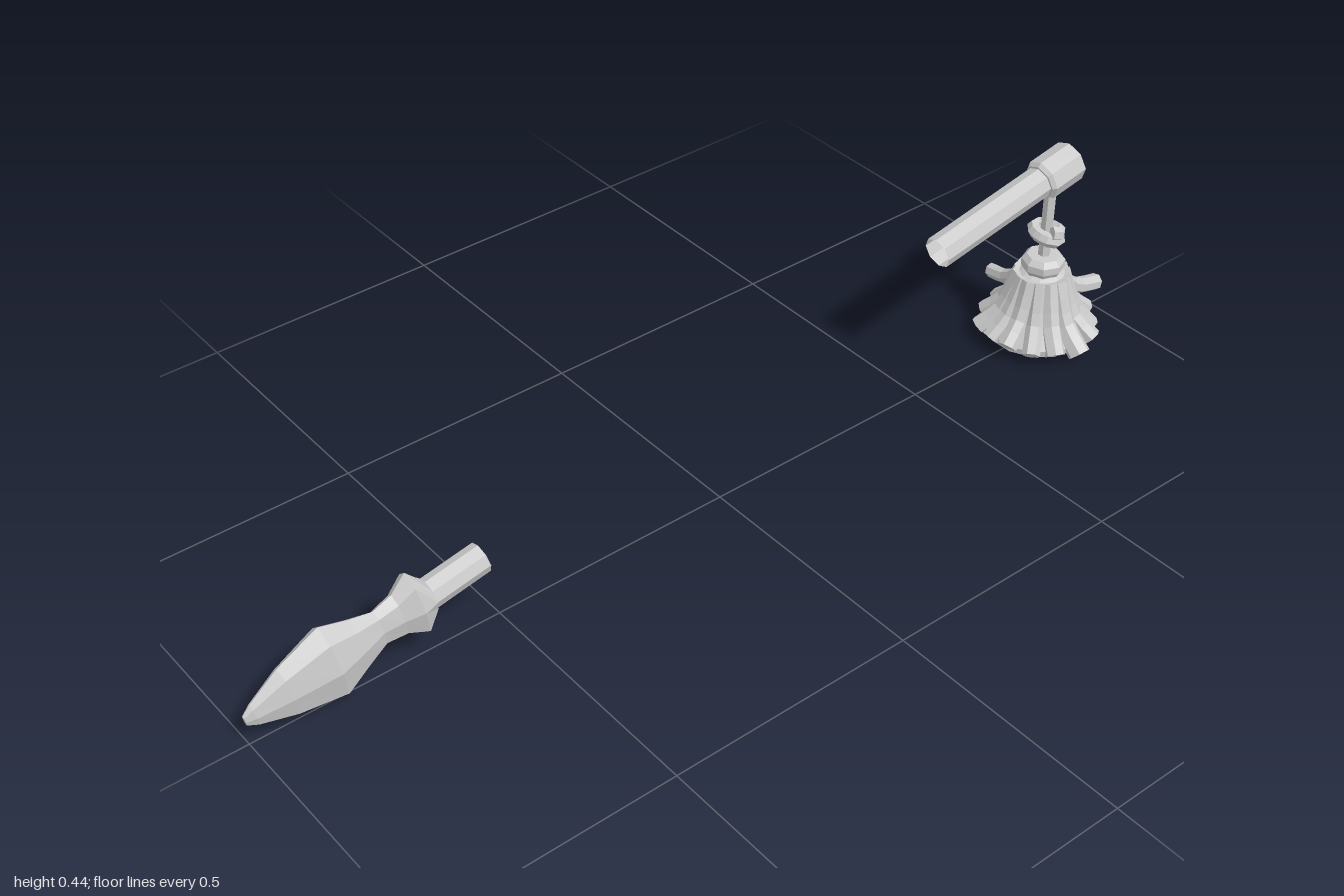
import * as THREE from 'three';

const V = (x, y, z) => new THREE.Vector3(x, y, z);
const X = V(1, 0, 0), Y = V(0, 1, 0), Z = V(0, 0, 1);
const mat = new THREE.MeshStandardMaterial({ color: 0xcccccc, flatShading: true, side: THREE.DoubleSide });

// One elliptical cross-section spanned by directions n and b
function ring(c, n, b, rn, rb, sides) {
  return Array.from({ length: sides }, (_, j) => {
    const a = (j / sides) * Math.PI * 2;
    return c.clone().addScaledVector(n, rn * Math.cos(a)).addScaledVector(b, rb * Math.sin(a));
  });
}

// Skin over successive cross-sections, with optional end caps
function loft(name, rings, capStart = true, capEnd = true) {
  const pos = [], n = rings[0].length;
  const tri = (...p) => p.forEach(v => pos.push(v.x, v.y, v.z));
  const mid = r => r.reduce((s, v) => s.add(v), V(0, 0, 0)).divideScalar(n);
  const first = rings[0], last = rings[rings.length - 1];
  const c0 = mid(first), c1 = mid(last);
  for (let j = 0; j < n; j++) {
    const k = (j + 1) % n;
    for (let i = 0; i < rings.length - 1; i++) {
      const a = rings[i], b = rings[i + 1];
      tri(a[j], a[k], b[k]);
      tri(a[j], b[k], b[j]);
    }
    if (capStart) tri(c0, first[k], first[j]);
    if (capEnd) tri(c1, last[j], last[k]);
  }
  const g = new THREE.BufferGeometry();
  g.setAttribute('position', new THREE.Float32BufferAttribute(pos, 3));
  g.computeVertexNormals();
  const m = new THREE.Mesh(g, mat);
  m.name = name;
  return m;
}

// Sections [position, radius, depth radius] along x or y
const alongX = (name, sections, sides, c0, c1) =>
  loft(name, sections.map(([s, h, d = h]) => ring(V(s, 0, 0), Y, Z, h, d, sides)), c0, c1);
const alongY = (name, sections, sides, c0, c1) =>
  loft(name, sections.map(([y, r]) => ring(V(0, y, 0), Z, X, r, r, sides)), c0, c1);

// Bent rope following a smooth path
function rope(name, points, radius, sides, steps) {
  const curve = new THREE.CatmullRomCurve3(points);
  const f = curve.computeFrenetFrames(steps, false);
  return loft(name, f.normals.map((n, i) =>
    ring(curve.getPointAt(i / steps), n, f.binormals[i], radius, radius, sides)));
}

export function createModel() {
  const model = new THREE.Group();
  const tilt = 0.192;

  // Flattened pointed finial with its open socket tube
  const finial = new THREE.Group();
  finial.name = 'finial';
  finial.position.set(-0.527, 0.157, 0);
  finial.rotation.z = tilt;
  finial.add(alongX('blade', [
    [-0.483, 0.012, 0.005], [-0.465, 0.026, 0.012], [-0.4, 0.06, 0.026], [-0.312, 0.087, 0.04],
    [-0.26, 0.06, 0.029], [-0.215, 0.042, 0.018], [-0.175, 0.05, 0.024], [-0.14, 0.077, 0.035],
    [-0.112, 0.032, 0.03],
  ], 8));
  finial.add(alongX('finialTube', [[-0.12, 0.029], [0, 0.029]], 8, true, false));
  model.add(finial);

  // Handle end: open tube and wider closed cap
  const handle = new THREE.Group();
  handle.name = 'handle';
  handle.position.set(0.53, 0.336, 0.004);
  handle.rotation.z = tilt;
  handle.add(alongX('handleTube', [[0, 0.032], [0.29, 0.032]], 8, false, true));
  handle.add(alongX('handleCap', [[0.274, 0.036], [0.282, 0.042], [0.36, 0.042]], 8));
  model.add(handle);

  // Hanging tassel
  const tassel = new THREE.Group();
  tassel.name = 'tassel';
  tassel.position.set(0.833, 0, 0.006);
  model.add(tassel);
  tassel.add(alongY('cord', [[0.19, 0.0125], [0.38, 0.0125]], 6));
  tassel.add(alongY('collar', [[0.168, 0.036], [0.182, 0.044], [0.197, 0.044], [0.208, 0.034]], 8));

  // Knot: an oval coil wound around the cord
  const coil = [];
  for (let i = 0; i <= 14; i++) {
    const a = Math.PI * (-0.5 + i / 14 * 3.2);
    coil.push(V(Math.cos(a) * 0.017, 0.244 + 0.028 * i / 14, Math.sin(a) * 0.03));
  }
  tassel.add(rope('knot', coil, 0.0145, 6, 18));

  // Inner body, hollowed underneath
  tassel.add(alongY('skirtBody', [
    [0.05, 0.02], [0.027, 0.105], [0.04, 0.107], [0.075, 0.084], [0.12, 0.066], [0.16, 0.056], [0.173, 0.036],
  ], 14));

  // Fringe strands flaring out around the rim, one longer at the front
  const count = 14;
  for (let i = 0; i < count; i++) {
    const a = (i / count) * Math.PI * 2, front = i === 0;
    const out = front ? 0.007 : 0.004 * Math.sin(i * 2.3);
    const drop = front ? -0.011 : 0.005 * Math.cos(i * 1.7);
    const at = (r, y) => V(Math.sin(a) * r, y, Math.cos(a) * r);
    tassel.add(rope('strand', [
      at(0.04, 0.165), at(0.053, 0.125), at(0.072, 0.08 + drop / 2), at(0.114 + out, 0.038 + drop),
    ], front ? 0.023 : 0.0195 + 0.002 * Math.sin(i * 3.1), 7, 5));
  }

  // Two loose strands lifting away from the skirt
  tassel.add(rope('looseStrand', [
    V(0.045, 0.145, 0.008), V(0.07, 0.113, 0.009), V(0.105, 0.092, 0.01), V(0.158, 0.078, 0.01),
  ], 0.0175, 7, 5));
  tassel.add(rope('looseStrand', [
    V(0, 0.15, -0.045), V(0, 0.12, -0.07), V(0.004, 0.1, -0.1), V(0.01, 0.088, -0.147),
  ], 0.0155, 7, 5));

  return model;
}
